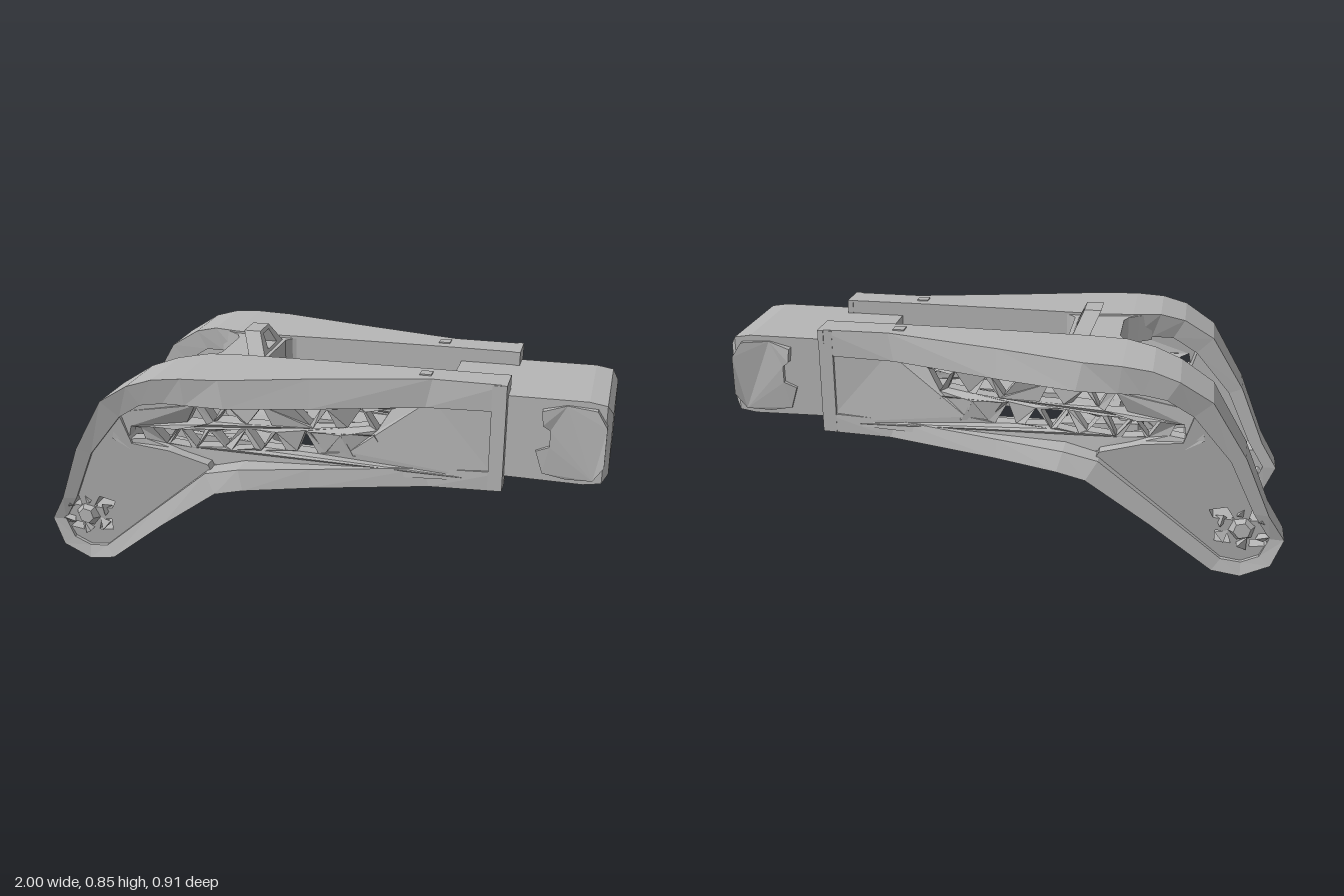
import * as THREE from 'three';

const grey = new THREE.MeshStandardMaterial({ color: 0xb6b6b6, flatShading: true });
grey.name = 'metal grey';

// Small repeatable noise in the range -1..1
const noise = (a, b) => {
  const s = Math.sin(a * 127.1 + b * 311.7) * 43758.5453;
  return (s - Math.floor(s)) * 2 - 1;
};

// Flat normals, with all faces turned outward
function finish(geo, flip = false) {
  const g = geo.index ? geo.toNonIndexed() : geo;
  const p = g.attributes.position;
  if (flip) {
    for (let i = 0; i < p.count; i += 3) {
      const b = new THREE.Vector3().fromBufferAttribute(p, i + 1);
      const c = new THREE.Vector3().fromBufferAttribute(p, i + 2);
      p.setXYZ(i + 1, c.x, c.y, c.z);
      p.setXYZ(i + 2, b.x, b.y, b.z);
    }
  }
  g.computeVertexNormals();
  return g;
}

// Closed solid through a row of four-cornered sections
function loft(sections) {
  const pos = sections.flat(2), idx = [], n = sections.length;
  for (let i = 0; i < n - 1; i++) {
    for (let j = 0; j < 4; j++) {
      const a = i * 4 + j, b = i * 4 + (j + 1) % 4;
      idx.push(a, b, b + 4, a, b + 4, a + 4);
    }
  }
  const e = (n - 1) * 4;
  idx.push(0, 2, 1, 0, 3, 2, e, e + 1, e + 2, e, e + 2, e + 3);
  const g = new THREE.BufferGeometry();
  g.setAttribute('position', new THREE.Float32BufferAttribute(pos, 3));
  g.setIndex(idx);
  let vol = 0;
  const v = i => new THREE.Vector3(...pos.slice(i * 3, i * 3 + 3));
  for (let i = 0; i < idx.length; i += 3) vol += v(idx[i]).dot(v(idx[i + 1]).cross(v(idx[i + 2])));
  return finish(g, vol < 0);
}

const pts = list => list.map(([x, y]) => new THREE.Vector2(x, y));

// Plate in the xy plane with holes; place(x, y, k) gives z at the back (k=0) and front (k=1)
function plate(outline, holes, place) {
  const shape = new THREE.Shape(pts(outline));
  holes.forEach(h => shape.holes.push(new THREE.Path(pts(h))));
  const g = new THREE.ExtrudeGeometry(shape, { depth: 1, bevelEnabled: false });
  const p = g.attributes.position;
  for (let i = 0; i < p.count; i++) p.setZ(i, place(p.getX(i), p.getY(i), p.getZ(i)));
  return finish(g);
}

const mirrorZ = geo => finish(geo.clone().scale(1, 1, -1), true);

const box = (w, h, d, x, y, z) => finish(new THREE.BoxGeometry(w, h, d).translate(x, y, z));

export function createModel() {
  const root = new THREE.Group();
  root.name = 'forkedArm';
  const add = (name, geo, parent = root) => {
    const m = new THREE.Mesh(geo, grey);
    m.name = name;
    parent.add(m);
  };

  const left = new THREE.Group(), right = new THREE.Group();
  left.name = 'leftArm';
  right.name = 'rightArm';
  root.add(left, right);
  const pair = (name, geo) => {
    add(name, geo, left);
    add(name, mirrorZ(geo), right);
  };

  // Rim running along the top rail, round the foot and back along the lower rail:
  // outer x, y, inner x, y, then near z, far z at the outer and inner edge
  const rim = [
    [.65, .785, .65, .69, .13, .24, .24], [.4, .785, .38, .685, .13, .238, .25],
    [0, .782, 0, .68, .13, .335, .355], [-.3, .778, -.28, .68, .13, .42, .43],
    [-.43, .777, -.42, .68, .145, .435, .43], [-.53, .768, -.5, .68, .19, .445, .43],
    [-.62, .74, -.58, .67, .22, .455, .44],
    [-.73, .67, -.67, .61, .235, .44, .42], [-.85, .47, -.8, .45, .25, .415, .4],
    [-.94, .25, -.89, .25, .25, .38, .37], [-1, .15, -.95, .15, .25, .355, .35],
    [-.96, .05, -.92, .08, .26, .36, .35], [-.86, 0, -.86, .05, .27, .355, .345],
    [-.76, .02, -.79, .06, .26, .365, .35], [-.54, .2, -.57, .25, .25, .405, .385],
    [-.32, .365, -.36, .43, .24, .44, .42], [-.22, .385, -.24, .455, .13, .43, .415],
    [0, .39, 0, .455, .13, .36, .345], [.4, .395, .38, .46, .13, .25, .245],
    [.65, .4, .65, .47, .13, .24, .24],
  ];
  pair('armRim', loft(rim.map(([ax, ay, bx, by, z0, za, zb]) =>
    [[ax, ay, z0], [ax, ay, za], [bx, by, zb], [bx, by, z0]])));

  // Lattice web: two rows of uneven triangular openings in a rough plate
  const cells = [];
  for (let row = 0; row < 2; row++) {
    for (let i = 0; i < 16; i++) {
      const x = -.53 + i * .056 + row * .012, y = .53 + row * .092;
      const up = (i + row) % 2 ? 1 : -1;
      if ((row && x > .28) || noise(i, row + 5) > .7) continue;
      const j = k => noise(i + k * 3.7, row + k) * .009;
      cells.push([[x - .041 + j(1), y - up * .034 + j(2)],
        [x + .041 + j(3), y - up * .034 + j(4)], [x + j(5), y + up * .035 + j(6)]]);
    }
  }
  cells.push([[-.65, .52], [-.595, .52], [-.61, .56], [-.64, .57]]);
  const webOutline = [[.64, .72], [.5, .72]];
  for (let x = .4; x > -.5; x -= .08) webOutline.push([x, .71]);
  webOutline.push([-.6, .69], [-.69, .62], [-.71, .52], [-.6, .45], [-.45, .42]);
  for (let x = -.32; x < .45; x += .08) webOutline.push([x, .425]);
  webOutline.push([.64, .43]);
  pair('latticeWeb', plate(webOutline, cells, (x, y, k) => {
    const rough = x < .36 && x > -.62 && y > .47 && y < .68 ? noise(x * 9, y * 7) * .016 - .008 : 0;
    const mid = .205 + .155 * Math.max(0, .4 - x);
    return mid + (k - .5) * .05 + rough;
  }));

  // Leg panel with openings in the foot
  const footHoles = [
    [[-.93, .22], [-.875, .215], [-.885, .26], [-.905, .265]],
    [[-.83, .215], [-.755, .22], [-.74, .25], [-.8, .265]],
    [[-.95, .12], [-.885, .11], [-.885, .14], [-.935, .147]],
    [[-.82, .12], [-.765, .125], [-.765, .17], [-.805, .165]],
  ];
  pair('legPanel', plate([[-.69, .64], [-.83, .45], [-.915, .25], [-.975, .15], [-.94, .06], [-.86, .02],
    [-.775, .04], [-.55, .22], [-.34, .41], [-.36, .45], [-.5, .49], [-.64, .505], [-.67, .6]],
  footHoles, (x, y, k) => k ? .325 + .14 * y : .256));

  // Chipped hub and loose-looking facets on the outer side of the foot
  pair('footHub', finish(new THREE.CylinderGeometry(.03, .05, .03, 6)
    .rotateX(Math.PI / 2).rotateZ(.3).translate(-.855, .185, .36)));
  for (let i = 0; i < 6; i++) {
    const a = i * Math.PI / 3 + .5;
    pair('footChip', finish(new THREE.TetrahedronGeometry(.03).rotateZ(a * 2).rotateX(i)
      .translate(-.855 + Math.cos(a) * .08, .185 + Math.sin(a) * .06, .35)));
  }

  // End plates, lips and small pads on the rails
  pair('endPlate', box(.05, .38, .07, .627, .592, .208));
  pair('railLip', box(.02, .05, .12, .642, .76, .187));
  pair('railPad', box(.04, .006, .04, .37, .786, .187));

  // Crosspieces with filleted ends joining the arms
  const half = [[-.2, .125], [-.16, .14], [-.16, .18], [-.48, .2], [-.5, .185], [-.45, .15], [-.415, .125], [-.4, .09]];
  const bridge = (y0, y1, front) => {
    const side = [[front, .1], ...half];
    const plan = [...side, ...side.slice().reverse().map(([x, z]) => [x, -z])];
    const g = new THREE.ExtrudeGeometry(new THREE.Shape(pts(plan)), { depth: y1 - y0, bevelEnabled: false });
    return finish(g.rotateX(Math.PI / 2).translate(0, y1, 0));
  };
  add('upperBridge', bridge(.67, .77, -.22));
  // Lower crosspiece rises with the underside of the legs toward the back
  const lower = bridge(.39, .46, -.22);
  const lp = lower.attributes.position;
  for (let i = 0; i < lp.count; i++) lp.setY(i, lp.getY(i) + Math.max(0, -.4 - lp.getX(i)) * .3);
  add('lowerBridge', finish(lower));

  // Leaning bracket with an opening, on top of the bridge
  const bracket = new THREE.Shape(pts([[-.12, 0], [.12, 0], [.1, .03], [.05, .095], [-.05, .095], [-.1, .03]]));
  bracket.holes.push(new THREE.Path(pts([[-.05, .03], [.05, .03], [.03, .082], [-.03, .082]])));
  const bg = new THREE.ExtrudeGeometry(bracket, { depth: .06, bevelEnabled: false });
  bg.rotateY(Math.PI / 2);
  const bp = bg.attributes.position;
  for (let i = 0; i < bp.count; i++) {
    const h = bp.getY(i);
    bp.setXYZ(i, bp.getX(i) - .285 - h * .45, .75 + h, bp.getZ(i));
  }
  add('topBracket', finish(bg));

  // Block held between the arm ends
  const blockRows = [[.44, .445, .735, .2], [.92, .44, .738, .2], [.98, .45, .728, .2], [1, .48, .695, .18]];
  add('endBlock', loft(blockRows.map(([x, y0, y1, z]) =>
    [[x, y0, -z], [x, y0, z], [x, y1, z], [x, y1, -z]])));

  // Uneven side caps on the block
  pair('sideCap', plate([[.78, .47], [.86, .455], [.95, .46], [.985, .52], [.985, .66], [.95, .715], [.85, .72],
    [.77, .7], [.775, .65], [.8, .63], [.8, .57], [.755, .55]], [],
  (x, y, k) => k ? .218 + noise(x * 5, y * 3) * .014 : .19));

  return root;
}
